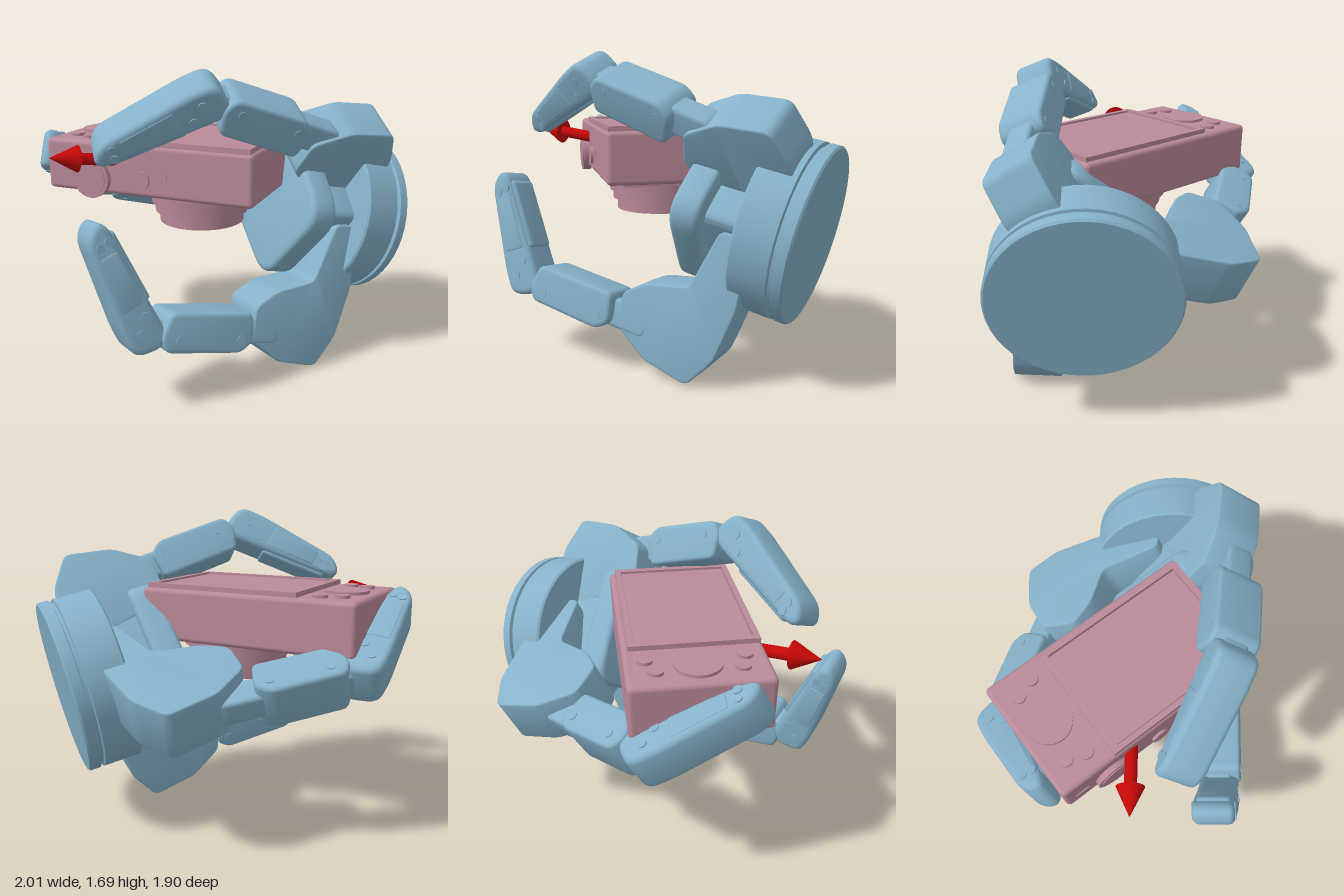
import * as THREE from 'three';
import { toCreasedNormals } from 'three/addons/utils/BufferGeometryUtils.js';
import { RoundedBoxGeometry } from 'three/addons/geometries/RoundedBoxGeometry.js';

const blue = new THREE.MeshStandardMaterial({ color: 0x86b2ca });
const pink = new THREE.MeshStandardMaterial({ color: 0xb98a99 });
const red = new THREE.MeshStandardMaterial({ color: 0xc40808 });
const V = (x, y, z) => new THREE.Vector3(x, y, z);

// Palm frame: H sideways, U up, F towards the grasped object
const H = V(0.77, 0, 0.64).normalize();
const F = V(-0.625, 0.215, 0.75).normalize();
const U = F.clone().cross(H).normalize();
const HUB = V(0.64, 0.747, -0.63);

function mesh(parent, name, geo, mat, pos) {
  const m = new THREE.Mesh(geo, mat);
  m.name = name;
  if (pos) m.position.copy(pos);
  parent.add(m);
  return m;
}

// Group whose local axes are x, y and x cross y
function frame(parent, name, origin, x, y) {
  const g = new THREE.Group();
  g.name = name;
  g.quaternion.setFromRotationMatrix(new THREE.Matrix4().makeBasis(x, y, x.clone().cross(y)));
  g.position.copy(origin);
  parent.add(g);
  return g;
}

// Polygon with rounded corners, extruded symmetrically about z = 0
function plate(pts, radius, depth, bevel = 0.02) {
  const s = new THREE.Shape();
  const p = pts.map(([x, y]) => new THREE.Vector2(x, y));
  p.forEach((c, i) => {
    const cut = (q) => {
      const d = q.clone().sub(c);
      return c.clone().addScaledVector(d.clone().normalize(), Math.min(radius, d.length() * 0.48));
    };
    const a = cut(p[(i + p.length - 1) % p.length]), b = cut(p[(i + 1) % p.length]);
    if (i) s.lineTo(a.x, a.y); else s.moveTo(a.x, a.y);
    s.quadraticCurveTo(c.x, c.y, b.x, b.y);
  });
  s.closePath();
  const geo = new THREE.ExtrudeGeometry(s, {
    depth: depth - 2 * bevel, bevelThickness: bevel, bevelSize: bevel,
    bevelOffset: -bevel, bevelSegments: 3, curveSegments: 6,
  });
  geo.translate(0, 0, -depth / 2 + bevel);
  return toCreasedNormals(geo, 0.6);
}

// Cylinder along local z
const pin = (r, w) => new THREE.CylinderGeometry(r, r, w, 24).rotateX(Math.PI / 2);

// Screws on both sides of a link
function screws(g, spots, width) {
  for (const [x, y] of spots) mesh(g, 'screw', pin(0.023, width + 0.008), blue, V(x, y, 0));
}

function finger(parent, name, { base, out, df, dr, j1, j2, tip }) {
  const g = new THREE.Group();
  g.name = name;
  parent.add(g);

  // Angled knuckle link rising from the palm
  const k = frame(g, 'knuckle', base, F, out);
  const outline = [[0.24, 0.05], [0.4, 0.05], [0.49, 0.38], [0.72, 0.44], [0.84, 0.53],
    [0.83, 0.72], [0.64, 0.84], [0.38, 0.875], [0.27, 0.7], [0.22, 0.41]];
  mesh(k, 'knuckleLink', plate(outline.map(([f, r]) => [f + df, r + dr]), 0.04, 0.27, 0.01), blue);

  // Middle and end links share one bending axis
  const d1 = j2.clone().sub(j1), d2 = tip.clone().sub(j2);
  const L = d1.length(), T = d2.length();
  d1.normalize(); d2.normalize();
  const axis = d1.clone().cross(d2).normalize();
  if (axis.clone().cross(d1).dot(out) < 0) axis.negate();

  const m = frame(g, 'middle', j1, d1, axis.clone().cross(d1));
  mesh(m, 'middleNeck', plate([[-0.1, -0.08], [L + 0.06, -0.06], [L + 0.06, 0.07], [-0.1, 0.08]], 0.06, 0.14), blue);
  mesh(m, 'middleLink', plate([[0.12, -0.11], [L - 0.11, -0.11], [L - 0.07, 0.02],
    [L - 0.11, 0.095], [0.17, 0.105], [0.1, 0.05]], 0.035, 0.25), blue);
  screws(m, [[0.18, 0.03], [L - 0.17, 0.03]], 0.25);

  const e = frame(g, 'fingertip', j2, d2, axis.clone().cross(d2));
  mesh(e, 'fingertipLink', plate([[-0.11, -0.05], [-0.05, -0.1], [0.13, -0.085], [T - 0.02, -0.05],
    [T + 0.02, 0], [T - 0.05, 0.075], [0.06, 0.11], [-0.08, 0.1]], 0.06, 0.22, 0.03), blue);
  mesh(e, 'gripPad', plate([[0.15, -0.1], [T - 0.06, -0.07], [T - 0.04, -0.02], [0.15, -0.02]], 0.02, 0.18), blue);
  mesh(e, 'sidePanel', plate([[0.16, -0.05], [T - 0.15, -0.035], [T - 0.15, 0.055], [0.16, 0.07]], 0.01, 0.228, 0.004), blue);
  screws(e, [[0.02, 0.03], [0.09, -0.03], [T - 0.1, 0.03], [T - 0.09, -0.02]], 0.222);
}

function hand() {
  const g = new THREE.Group();
  g.name = 'gripperHand';
  // Round wrist flange with a groove
  const profile = [[0, 0], [0.46, 0], [0.47, 0.01], [0.47, 0.06], [0.45, 0.065], [0.45, 0.08],
    [0.47, 0.085], [0.47, 0.28], [0.46, 0.29], [0, 0.29]].map(([r, t]) => new THREE.Vector2(r, t));
  const flange = mesh(g, 'wristFlange',
    toCreasedNormals(new THREE.LatheGeometry(profile, 48), 0.3), blue, HUB);
  flange.quaternion.setFromUnitVectors(V(0, 1, 0), F);
  // Palm pad and the block behind it
  const palm = frame(g, 'palm', HUB, H, U);
  const diamond = [[-0.42, -0.08], [0.06, 0.46], [0.49, 0.03], [0.1, -0.44]];
  mesh(palm, 'palmPad', plate(diamond, 0.15, 0.16, 0.03), blue, V(0, 0, 0.56));
  mesh(palm, 'palmCore', plate(diamond.map(([x, y]) => [x * 0.75, y * 0.75]), 0.05, 0.3), blue, V(0, 0, 0.38));

  const palmDir = (h, u) => H.clone().multiplyScalar(h).addScaledVector(U, u);
  const at = (h, u) => palmDir(h, u).add(HUB);
  finger(g, 'lowerFinger', {
    base: at(0.21, 0), out: palmDir(0.07, -1).normalize(), df: -0.01, dr: -0.015,
    j1: V(0.33, 0.28, 0.24), j2: V(-0.12, 0.42, 0.76), tip: V(-0.31, 0.98, 0.86),
  });
  finger(g, 'upperFinger', {
    base: at(-0.03, 0.02), out: palmDir(0.55, 0.835).normalize(), df: -0.15, dr: -0.2,
    j1: V(0.54, 1.31, -0.04), j2: V(0.09, 1.54, 0.42), tip: V(-0.4, 1.28, 0.65),
  });
  finger(g, 'sideFinger', {
    base: at(-0.03, 0.16), out: palmDir(-0.94, -0.34).normalize(), df: -0.05, dr: -0.02,
    j1: V(-0.37, 0.79, -0.56), j2: V(-0.89, 0.92, -0.2), tip: V(-0.92, 1.2, 0.32),
  });
  return g;
}

function camera() {
  const g = new THREE.Group();
  g.name = 'compactCamera';
  mesh(g, 'body', new RoundedBoxGeometry(1.205, 0.28, 0.68, 3, 0.025), pink, V(-0.265, 1.13, 0.05));
  mesh(g, 'lensPlate', new THREE.BoxGeometry(0.72, 0.03, 0.5), pink, V(-0.07, 0.99, 0.05));

  // Stepped lens pointing down
  const steps = [[0.31, 0.96, 1.0], [0.285, 0.91, 0.96], [0.265, 0.86, 0.91], [0.24, 0.8, 0.86]];
  for (const [r, y0, y1] of steps) {
    mesh(g, 'lensRing', new THREE.CylinderGeometry(r, r * 0.99, y1 - y0 + 0.004, 48), pink,
      V(-0.095, (y0 + y1) / 2, 0.03));
  }
  // Screen with a raised frame
  const rect = (s, w, h) => s.moveTo(-w, -h).lineTo(w, -h).lineTo(w, h).lineTo(-w, h).closePath();
  const border = rect(new THREE.Shape(), 0.435, 0.32);
  border.holes.push(rect(new THREE.Path(), 0.4, 0.29));
  const rim = new THREE.ExtrudeGeometry(border, { depth: 0.03, bevelEnabled: false }).rotateX(-Math.PI / 2);
  mesh(g, 'screenFrame', rim, pink, V(-0.115, 1.265, 0.06));
  mesh(g, 'screen', new THREE.BoxGeometry(0.79, 0.02, 0.57), pink, V(-0.115, 1.275, 0.06));

  // Control dial and buttons
  const knobs = [[-0.705, 0.05, 0.115], [-0.75, -0.15, 0.038], [-0.65, -0.19, 0.038],
    [-0.75, 0.25, 0.038], [-0.65, 0.28, 0.038]];
  for (const [x, z, r] of knobs) {
    mesh(g, 'button', new THREE.CylinderGeometry(r, r, 0.03, 32), pink, V(x, 1.27, z));
  }
  // Dials and slots on the edge
  mesh(g, 'modeDial', pin(0.11, 0.05), pink, V(-0.58, 1.075, 0.395));
  mesh(g, 'modeDialCap', pin(0.09, 0.06), pink, V(-0.58, 1.075, 0.395));
  mesh(g, 'shutterButton', pin(0.05, 0.03), pink, V(-0.285, 1.085, 0.39));
  mesh(g, 'powerSwitch', new THREE.BoxGeometry(0.08, 0.025, 0.02), pink, V(-0.77, 1.11, 0.386));
  mesh(g, 'indicator', new THREE.BoxGeometry(0.016, 0.04, 0.02), pink, V(-0.145, 1.11, 0.386));
  return g;
}

function arrow() {
  const g = new THREE.Group();
  g.name = 'directionArrow';
  const from = V(-0.43, 1.175, 0.35), to = V(-0.67, 1.225, 0.65);
  const len = from.distanceTo(to);
  mesh(g, 'arrowShaft', new THREE.CylinderGeometry(0.032, 0.032, len - 0.14, 24), red, V(0, (len - 0.14) / 2, 0));
  mesh(g, 'arrowHead', new THREE.ConeGeometry(0.072, 0.15, 24), red, V(0, len - 0.075, 0));
  g.position.copy(from);
  g.quaternion.setFromUnitVectors(V(0, 1, 0), to.sub(from).normalize());
  return g;
}

export function createModel() {
  const model = new THREE.Group();
  model.name = 'gripperHoldingCamera';
  model.add(hand(), camera(), arrow());
  return model;
}
